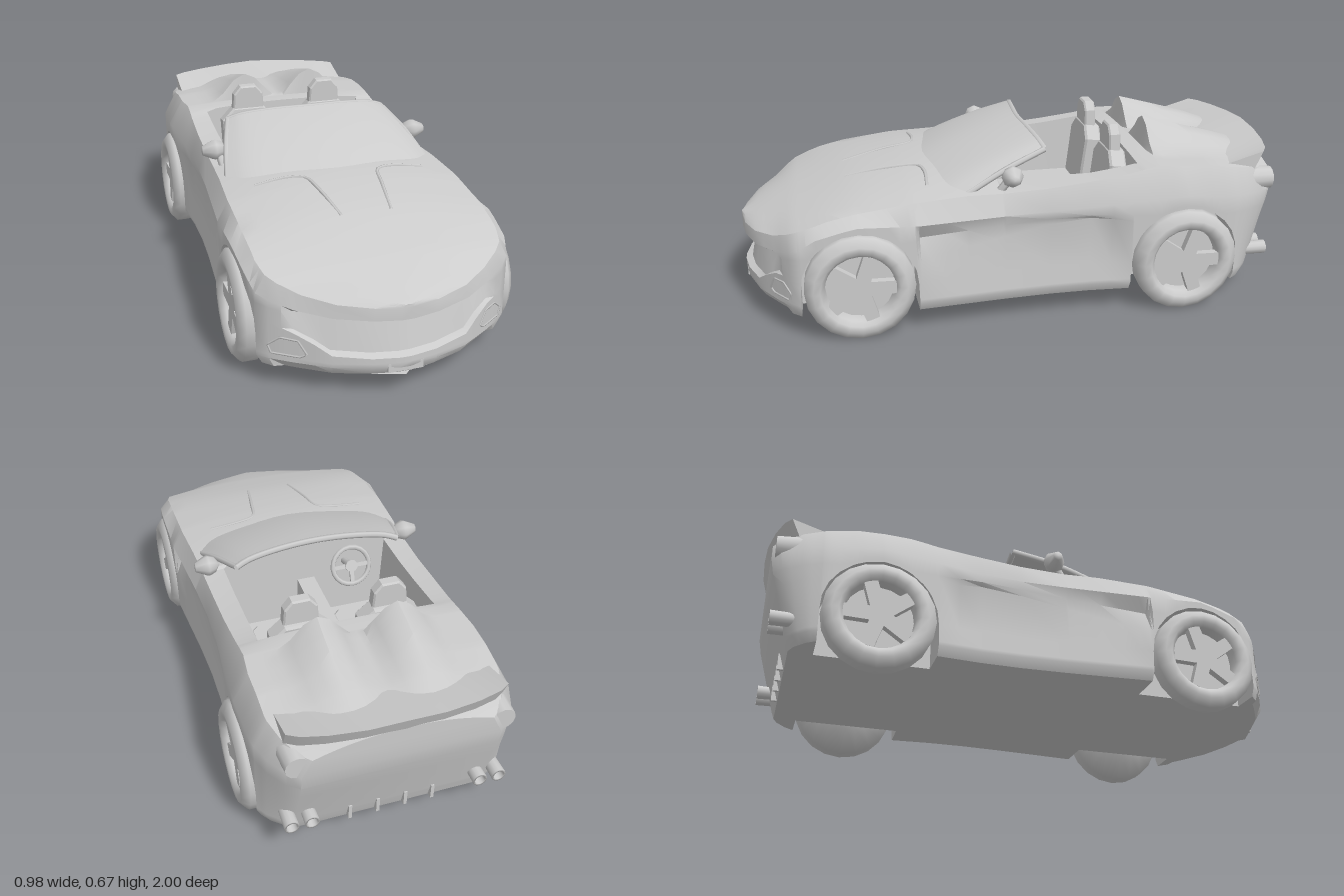
import * as THREE from 'three';
import { toCreasedNormals } from 'three/addons/utils/BufferGeometryUtils.js';

const grey = new THREE.MeshStandardMaterial({ color: 0xcccccc });
const thin = new THREE.MeshStandardMaterial({ color: 0xcccccc, side: THREE.DoubleSide });
const V = (x, y, z) => new THREE.Vector3(x, y, z);

function add(parent, name, geometry, x = 0, y = 0, z = 0, material = grey) {
  const mesh = new THREE.Mesh(geometry, material);
  mesh.name = name;
  mesh.position.set(x, y, z);
  parent.add(mesh);
  return mesh;
}

// Linear lookup in a table of [key, value] with falling keys
function at(table, k) {
  if (k >= table[0][0]) return table[0][1];
  for (let i = 1; i < table.length; i++) {
    const [k0, v0] = table[i - 1], [k1, v1] = table[i];
    if (k >= k1) return v1 + (v0 - v1) * (k - k1) / (k0 - k1);
  }
  return table[table.length - 1][1];
}

// Skin over rows of [x, y, z]; capped rows are closed by strips across the ring
function loft(rows, capped, crease = 0.5) {
  const m = rows[0].length, index = [], last = (rows.length - 1) * m;
  for (let i = 0; i < rows.length - 1; i++) for (let j = 0; j < m - 1; j++) {
    const a = i * m + j, b = a + 1, c = a + m, d = c + 1;
    index.push(a, c, b, b, c, d);
  }
  if (capped) for (let j = 0; j < m / 2 - 1; j++) {
    const r = j, s = j + 1, l = m - 1 - j, k = l - 1;
    index.push(r, s, l, l, s, k, last + s, last + r, last + l, last + s, last + l, last + k);
  }
  const g = new THREE.BufferGeometry();
  g.setAttribute('position', new THREE.Float32BufferAttribute(rows.flat(2), 3));
  g.setIndex(index);
  return toCreasedNormals(g, crease);
}

// Body measures along z
const width = [[1, .02], [.985, .11], [.945, .23], [.88, .335], [.81, .435], [.74, .458], [.6, .47], [.38, .468],
  [0, .44], [-.2, .435], [-.4, .45], [-.6, .465], [-.8, .455], [-.88, .425], [-.95, .38], [-.98, .34]];
const shoulder = [[1, .328], [.88, .358], [.8, .4], [.7, .437], [.6, .46], [.4, .485], [.2, .495], [0, .49],
  [-.2, .505], [-.4, .53], [-.5, .55], [-.7, .545], [-.9, .51], [-.98, .49]];
const shoulderIn = [[1, .95], [.85, .93], [.6, .91], [.2, .92], [-.2, .94], [-.5, .87], [-.98, .9]];
const topLine = [[1, .34], [.9, .385], [.8, .425], [.7, .457], [.6, .487], [.5, .507], [.4, .522], [.3, .533],
  [.08, .53], [-.46, .562], [-.8, .555], [-.98, .54]];
const upperCrease = [[1, .285], [.88, .308], [.8, .34], [.74, .385], [.6, .425], [.38, .415], [-.2, .42], [-.6, .45], [-.98, .42]];
const midCrease = [[1, .272], [.88, .29], [.8, .31], [.38, .36], [-.2, .395], [-.98, .36]];
const ventFoot = [[.85, .25], [.38, .28], [-.2, .385], [-.98, .3]];
const lowSide = [[1, .15], [.95, .155], [.89, .22], [.86, .23], [.8, .2]];
const vent = [[.39, 0], [.375, .03], [-.2, 0]];
const doorInset = [[.385, 0], [.28, .012], [-.33, .012], [-.405, 0]];
const recess = [[1, .05], [.89, .045], [.86, 0]];
const WHEELS = [.59, -.61], AXLE = .195, ARCH = .205;

// Two fairings rise behind the cabin and fade towards the tail
function fairing(x, z) {
  if (z > -.52 || z < -.95) return 0;
  const spread = Math.max(0, 1 - Math.abs(x - .145) / .13);
  return .108 * (z + .95) / .43 * Math.sin(spread * Math.PI / 2) ** 1.4;
}

function bodyRow(z) {
  const W = at(width, z), S = at(shoulder, z), T = at(topLine, z), v = at(vent, z), d = at(recess, z);
  const zc = WHEELS.find(c => Math.abs(z - c) <= ARCH + 1e-6);
  const arch = zc !== undefined;
  const ya = arch ? AXLE + Math.sqrt(Math.max(0, ARCH ** 2 - (z - zc) ** 2)) : 0;
  const xs = W * at(shoulderIn, z), nose = z > .85, low = at(lowSide, z), inset = at(doorInset, z);
  const foot = nose ? low + .01 : at(ventFoot, z);
  const half = [[0, .085], ...(arch ? [[.32, .085], [.32, ya], [W, ya]] : [[W * .96, .085, nose ? .02 : 0], [W, .118], [W, .132]]),
    [W - inset, Math.max(low, ya + .004)],
    [W - inset, Math.max(foot, ya + .008), d * .5],
    [W - v, Math.max(at(midCrease, z), ya + .012), d],
    [W, Math.max(at(upperCrease, z), ya + .018)], [xs, S]];
  if (z < .07 && z > -.44) half.push([.33, S + .004], [.315, .2], ...[.28, .24, .2, .15, .1, .05, 0].map(x => [x, .2]));
  else for (const u of [.85, .72, .6, .48, .36, .25, .15, .06, 0])
    half.push([xs * u, S + (T - S) * (1 - u ** 2.2) + fairing(xs * u, z)]);
  // The tail leans forward towards its lower edge
  const lean = Math.max(0, (-.8 - z) / .18) * .28;
  const pts = half.map(([x, y, back = 0]) => [x, y, z - back + lean * Math.max(0, .4 - y)]);
  return pts.concat(pts.map(([x, y, q]) => [-x, y, q]).reverse());
}

function buildBody() {
  const zs = [1, .985, .945, .915, .88, .855, .83, .375, .34, .28, .2, .1, .075, .065, -.1, -.25, -.33, -.435, -.445,
    -.515, -.525, -.6, -.7, -.85, -.88, -.92, -.95, -.98];
  for (const c of WHEELS) {
    zs.push(c + ARCH + .002, c - ARCH - .002);
    for (let k = 0; k <= 12; k++) zs.push(c + ARCH * Math.cos(k * Math.PI / 12));
  }
  return loft(zs.sort((a, b) => b - a).map(bodyRow), true, .6);
}

// Wheel with its outer side on +y
function buildWheel() {
  const wheel = new THREE.Group();
  const profile = [[0, -.08], [.12, -.08], [.195, .015], [.195, .065], [.165, .09], [.14, .088], [.125, .07], [.122, .03], [0, .03]];
  add(wheel, 'tyre', toCreasedNormals(new THREE.LatheGeometry(profile.map(p => new THREE.Vector2(...p)), 20), 1));
  const pts = [];
  for (let k = 0; k < 5; k++) {
    const a = k * Math.PI * .4 + Math.PI / 2;
    for (const [r, o] of [[.128, -.19], [.128, .19], [.045, Math.PI / 5]])
      pts.push(new THREE.Vector2(r * Math.cos(a + o), r * Math.sin(a + o)));
  }
  const spokes = new THREE.ExtrudeGeometry(new THREE.Shape(pts), { depth: .028, bevelEnabled: false });
  add(wheel, 'spokes', spokes.rotateX(-Math.PI / 2), 0, .045, 0);
  return wheel;
}

// Windscreen swept between its base and its upper edge
function buildWindscreen(group) {
  const curve = half => new THREE.CatmullRomCurve3([...half.slice(1).reverse().map(([x, y, z]) => V(-x, y, z)), ...half.map(p => V(...p))]);
  const base = curve([[0, .53, .31], [.2, .52, .29], [.33, .506, .26], [.395, .493, .21]]);
  const top = curve([[0, .655, -.065], [.15, .652, -.075], [.27, .638, -.09], [.315, .622, -.1]]);
  const rows = [];
  for (let i = 0; i <= 6; i++) {
    const t = i / 6, row = [];
    for (let j = 0; j <= 20; j++) {
      const p = base.getPoint(j / 20).lerp(top.getPoint(j / 20), t);
      row.push([p.x, p.y + .04 * t * (1 - t), p.z]);
    }
    rows.push(row);
  }
  add(group, 'windscreen', loft(rows, false, 1), 0, 0, 0, thin);
  add(group, 'windscreenHeader', new THREE.TubeGeometry(top, 24, .012, 6).translate(0, -.008, 0));
  for (const s of [-1, 1]) {
    const pillar = new THREE.CatmullRomCurve3([[.39, .485, .21], [.356, .562, .05], [.315, .615, -.1]].map(([x, y, z]) => V(s * x, y, z)));
    add(group, 'windscreenPillar', new THREE.TubeGeometry(pillar, 8, .011, 6));
  }
}

// Closed trim that follows the curve of the nose
function noseTrim(group, name, points, side) {
  const front = width.slice(0, 7).map(([z, w]) => [w, z]).reverse();
  const path = points.map(([x, y]) => V(side * x, y, at(front, x) + .001));
  const line = new THREE.CurvePath();
  path.forEach((p, i) => line.add(new THREE.LineCurve3(p, path[(i + 1) % path.length])));
  add(group, name, new THREE.TubeGeometry(line, 36, .004, 4, true));
}

function buildSeat(x) {
  const seat = new THREE.Group();
  seat.name = 'seat';
  const outline = (pts, depth, bevel) => new THREE.ExtrudeGeometry(
    new THREE.Shape(pts.map(p => new THREE.Vector2(...p))),
    { depth, bevelEnabled: true, bevelSize: bevel, bevelThickness: bevel, bevelSegments: 1 });
  const cushion = outline([[-.105, .13], [-.08, .105], [.08, .105], [.105, .13], [.105, .37], [-.105, .37]], .1, .008);
  add(seat, 'seatCushion', cushion.rotateX(-Math.PI / 2), 0, .215, 0);
  const back = outline([[-.1, 0], [.1, 0], [.105, .21], [.06, .255], [-.06, .255], [-.105, .21]], .05, .008);
  add(seat, 'seatBack', back, 0, .3, -.395).rotation.x = -.12;
  const head = outline([[-.06, 0], [.06, 0], [.055, .06], [.03, .09], [-.03, .09], [-.055, .06]], .032, .006);
  add(seat, 'headrest', head, 0, .56, -.41);
  seat.position.x = x;
  return seat;
}

export function createModel() {
  const car = new THREE.Group();
  car.name = 'car';
  add(car, 'body', buildBody());
  buildWindscreen(car);

  for (const z of WHEELS) for (const s of [-1, 1]) {
    const wheel = buildWheel();
    wheel.name = z > 0 ? 'frontWheel' : 'rearWheel';
    wheel.rotation.z = -s * Math.PI / 2;
    wheel.position.set(s * .4, AXLE, z);
    car.add(wheel);
  }

  // Tail lip that flows out of the rear deck
  const lip = [[.375, -.925], [.335, -.95], [.25, -.975], [.13, -.995], [0, -1], [-.13, -.995], [-.25, -.975], [-.335, -.95], [-.375, -.925]];
  add(car, 'rearLip', loft(lip.map(([x, z]) => {
    const front = [x, .55 - x * x * .25, z + .2];
    return [front, [x, .48, z + .04], [x, .59 - Math.abs(x) * .05, z], front];
  }), true));

  const mirrorProfile = [[0, 0], [.03, .02], [.04, .045], [.038, .055], [.018, .095], [0, .096]].map(p => new THREE.Vector2(...p));
  for (const s of [-1, 1]) {
    car.add(buildSeat(s * .165));

    // Door mirror
    const mirror = add(car, 'mirror', new THREE.LatheGeometry(mirrorProfile, 8), s * .35, .547, .035);
    mirror.rotation.z = -s * Math.PI / 2;
    add(car, 'mirrorArm', new THREE.TubeGeometry(new THREE.LineCurve3(V(s * .375, .49, .075), V(s * .385, .54, .04)), 1, .015, 6));

    // Raised bonnet edges beside the central channel
    const edge = new THREE.CatmullRomCurve3([V(s * .32, .506, .33), V(s * .2, .522, .325), V(s * .14, .523, .345), V(s * .115, .513, .45), V(s * .09, .48, .61)]);
    add(car, 'bonnetVent', new THREE.TubeGeometry(edge, 20, .007, 5));
    noseTrim(car, 'fogLampSurround', [[.3, .155], [.325, .2], [.375, .203], [.41, .17], [.4, .142], [.32, .142]], s);

    // Tail lamps and paired exhausts
    add(car, 'tailLamp', new THREE.CylinderGeometry(.042, .05, .1, 12).rotateX(-Math.PI / 2), s * .35, .46, -.92);
    for (const x of [.3, .37]) {
      const pipe = [[.018, 0], [.024, 0], [.026, .1], [.019, .1], [.017, .04], [0, .04]].map(p => new THREE.Vector2(...p));
      add(car, 'exhaust', new THREE.LatheGeometry(pipe, 12).rotateX(-Math.PI / 2), s * x, .18, -.865, thin);
    }
    for (const x of [.05, .15]) add(car, 'diffuserFin', new THREE.BoxGeometry(.012, .06, .06), s * x, .12, -.885);
  }

  // Cabin
  add(car, 'centreConsole', new THREE.BoxGeometry(.07, .18, .5), 0, .29, -.19);
  const steering = new THREE.Group();
  steering.name = 'steeringWheel';
  add(steering, 'steeringRim', new THREE.TorusGeometry(.075, .01, 6, 20));
  add(steering, 'steeringHub', new THREE.CylinderGeometry(.025, .025, .02, 10).rotateX(Math.PI / 2));
  for (const a of [0, Math.PI, -Math.PI / 2])
    add(steering, 'steeringSpoke', new THREE.BoxGeometry(.07, .016, .01), .037 * Math.cos(a), .037 * Math.sin(a), 0).rotation.z = a;
  add(steering, 'steeringColumn', new THREE.CylinderGeometry(.014, .014, .1, 8).rotateX(Math.PI / 2), 0, 0, .05);
  steering.position.set(-.165, .455, -.01);
  steering.rotation.x = .35;
  car.add(steering);
  add(car, 'frontPlate', new THREE.BoxGeometry(.12, .03, .03), 0, .112, .98);
  return car;
}
